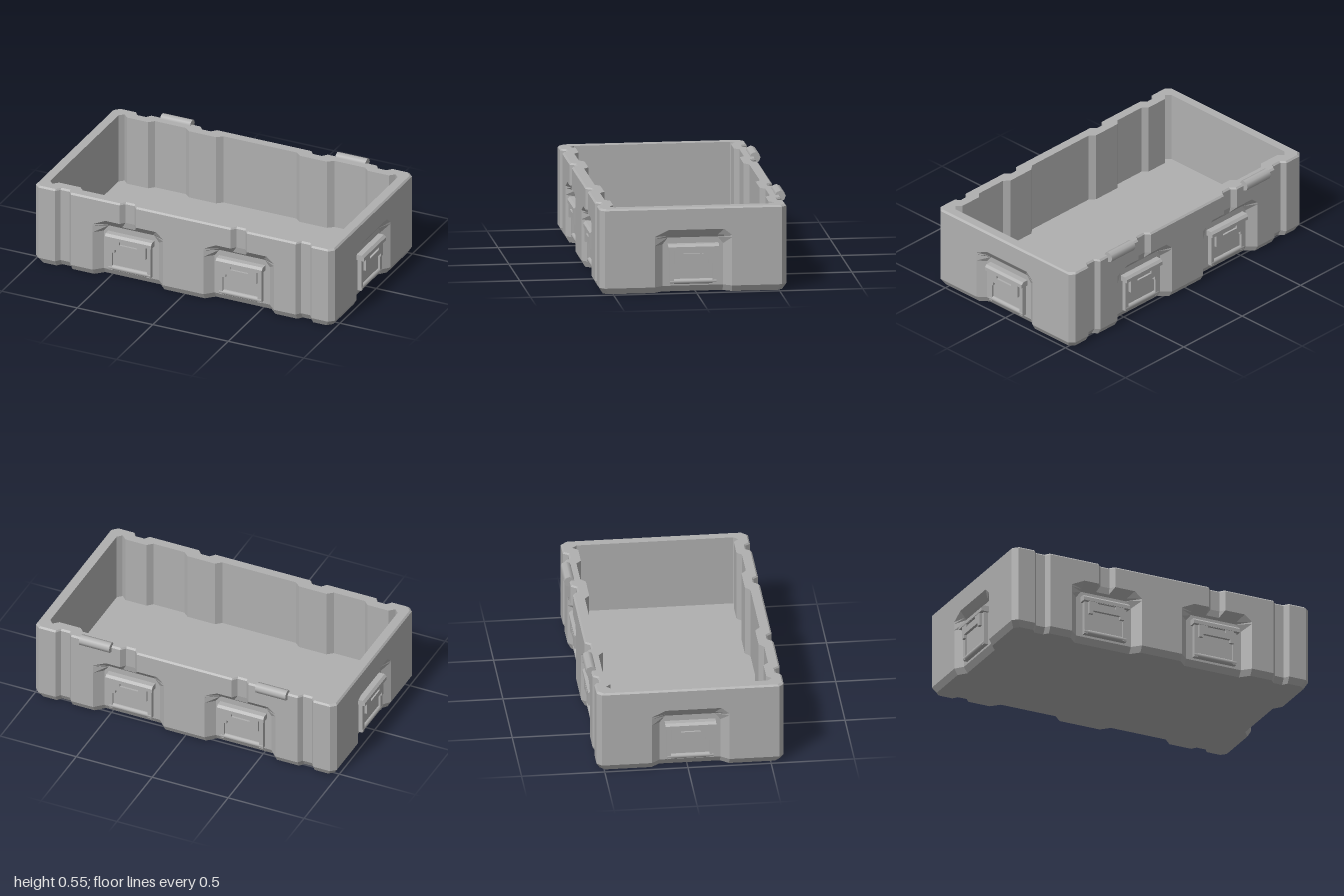
import * as THREE from 'three';

const HX = 0.99, HZ = 0.5625, MID_Z = 0.0175;   // half sizes of the tray and its centre
const LATCH_X = 0.367;
const DEPTH = { long: 0.05, short: 0.04 };      // recess depth on long and short walls

// One wall of a plan outline as [u, depth] pairs, from -u to +u
function wallPoints(half, long, l) {
  const pts = [[-half + l.corner, 0]];
  const endGroove = c => {
    const [a, b] = l.endGroove;
    pts.push([c - a, 0], [c - b, 0.03], [c + b, 0.03], [c + a, 0]);
  };
  const recess = c => {
    const d = l.recess * (long ? DEPTH.long : DEPTH.short);
    const dg = Math.max(d, long ? l.groove : 0);
    const [a, b] = l.midGroove;
    pts.push([c - l.wo, 0], [c - l.wi, d], [c - a, d], [c - b, dg],
      [c + b, dg], [c + a, d], [c + l.wi, d], [c + l.wo, 0]);
  };
  if (long) {
    endGroove(-0.797); recess(-LATCH_X); recess(LATCH_X); endGroove(0.797);
  } else recess(0);
  pts.push([half - l.corner, 0]);
  return pts;
}

// Closed plan loop at one height, counter-clockwise from above
function loop(l) {
  const hx = HX - l.inset, hz = HZ - l.inset, out = [];
  for (let k = 0; k < 4; k++) {
    const long = k % 2 === 0, off = long ? hz : hx;
    for (const [u, d] of wallPoints(long ? hx : hz, long, l)) {
      out.push(new THREE.Vector3(u, l.y, off - d)
        .applyAxisAngle(new THREE.Vector3(0, 1, 0), k * Math.PI / 2));
    }
  }
  return out;
}

function bodyGeometry() {
  const base = { inset: 0, corner: 0.03, endGroove: [0.052, 0.03], midGroove: [0.055, 0.03],
    groove: 0, wo: 0.233, wi: 0.183, recess: 1 };
  const upper = { groove: 0.03, recess: 0, wo: 0.185, wi: 0.15 };
  const cavity = { inset: 0.065, corner: 0.027, endGroove: [0.1, 0.07], midGroove: [0.125, 0.09],
    groove: 0.03, recess: 0, wo: 0.19, wi: 0.16 };
  const loops = [
    { y: 0, inset: 0.022 },
    { y: 0.038 },
    { y: 0.29 },
    { y: 0.332, wi: 0.15 },
    { y: 0.345, wi: 0.15, recess: 0.75 },
    { y: 0.385, ...upper },
    { y: 0.51, ...upper },
    { y: 0.52, ...upper, inset: 0.01 },
    { y: 0.52, ...cavity },
    { y: 0.075, ...cavity },
  ].map(l => loop({ ...base, ...l }));

  const v = [];
  const tri = (...ps) => ps.forEach(p => v.push(p.x, p.y, p.z));
  for (let j = 0; j + 1 < loops.length; j++) {
    const a = loops[j], b = loops[j + 1], n = a.length;
    for (let i = 0; i < n; i++) {
      const k = (i + 1) % n;
      tri(a[i], a[k], b[k]);
      tri(a[i], b[k], b[i]);
    }
  }
  // Underside and inner floor
  const cap = (pts, up) => {
    const flat = pts.map(p => new THREE.Vector2(p.x, -p.z));
    for (const [a, b, c] of THREE.ShapeUtils.triangulateShape(flat, [])) {
      if (up) tri(pts[a], pts[b], pts[c]);
      else tri(pts[a], pts[c], pts[b]);
    }
  };
  cap(loops[0], false);
  cap(loops[loops.length - 1], true);
  const g = new THREE.BufferGeometry();
  g.setAttribute('position', new THREE.Float32BufferAttribute(v, 3));
  g.computeVertexNormals();
  return g;
}

const shapeOf = pts => new THREE.Shape(pts.map(([x, y]) => new THREE.Vector2(x, y)));

// Latch standing on the z = 0 plane, facing +z
function makeLatch(mat) {
  const T = 0.05, latch = new THREE.Group();
  const add = (name, geo, x = 0, y = 0, z = 0) => {
    const m = new THREE.Mesh(geo, mat);
    m.name = name;
    m.position.set(x, y, z);
    latch.add(m);
  };
  add('latchPlate', new THREE.BoxGeometry(0.28, 0.21, 0.014), 0, 0.157, 0.007);
  for (const s of [-1, 1]) {
    add('latchRail', new THREE.BoxGeometry(0.024, 0.21, 0.028), s * 0.128, 0.157, 0.014);
  }
  add('latchFoot', new THREE.CylinderGeometry(0.016, 0.016, 0.278, 12).rotateZ(Math.PI / 2), 0, 0.066, 0.014);

  // Sloped hood across the top
  const hood = new THREE.ExtrudeGeometry(
    shapeOf([[0, 0.26], [T, 0.26], [T, 0.282], [0.036, 0.296], [0, 0.296]]),
    { depth: 0.306, bevelEnabled: false });
  add('latchHood', hood.rotateY(-Math.PI / 2).translate(0.153, 0, 0));

  // Flap with two short tabs and a slot
  const flap = shapeOf([[-0.116, 0.265], [-0.116, 0.18], [-0.09, 0.18], [-0.09, 0.202],
    [0.09, 0.202], [0.09, 0.18], [0.116, 0.18], [0.116, 0.265]]);
  flap.holes.push(shapeOf([[-0.06, 0.238], [0.06, 0.238], [0.06, 0.258], [-0.06, 0.258]]));
  add('latchFlap', new THREE.ExtrudeGeometry(flap, { depth: 0.018, bevelEnabled: false }), 0, 0, T - 0.021);
  add('slotBack', new THREE.BoxGeometry(0.13, 0.03, 0.02), 0, 0.248, 0.024);
  return latch;
}

export function createModel() {
  const grey = new THREE.MeshStandardMaterial({ color: 0xb0b0b0 });
  grey.name = 'grey';
  const model = new THREE.Group();
  model.name = 'openCase';

  const body = new THREE.Mesh(bodyGeometry(), grey);
  body.name = 'caseBody';
  body.position.z = MID_Z;
  model.add(body);

  // Latches: two on each long wall, one on each short wall
  const places = [];
  for (const x of [-LATCH_X, LATCH_X]) {
    places.push([x, HZ - DEPTH.long, 0], [x, -HZ + DEPTH.long, Math.PI]);
  }
  for (const s of [-1, 1]) places.push([s * (HX - DEPTH.short), 0, s * Math.PI / 2]);
  for (const [x, z, turn] of places) {
    const latch = makeLatch(grey);
    latch.name = 'latch';
    latch.position.set(x, 0, z + MID_Z);
    latch.rotation.y = turn;
    model.add(latch);
  }

  // Hinge barrels along the rear rim
  for (const s of [-1, 1]) {
    const hinge = new THREE.Mesh(
      new THREE.CylinderGeometry(0.033, 0.033, 0.2, 8).rotateZ(Math.PI / 2), grey);
    hinge.name = 'hingeBarrel';
    hinge.position.set(s * 0.58, 0.512, -0.546);
    model.add(hinge);
  }
  return model;
}
